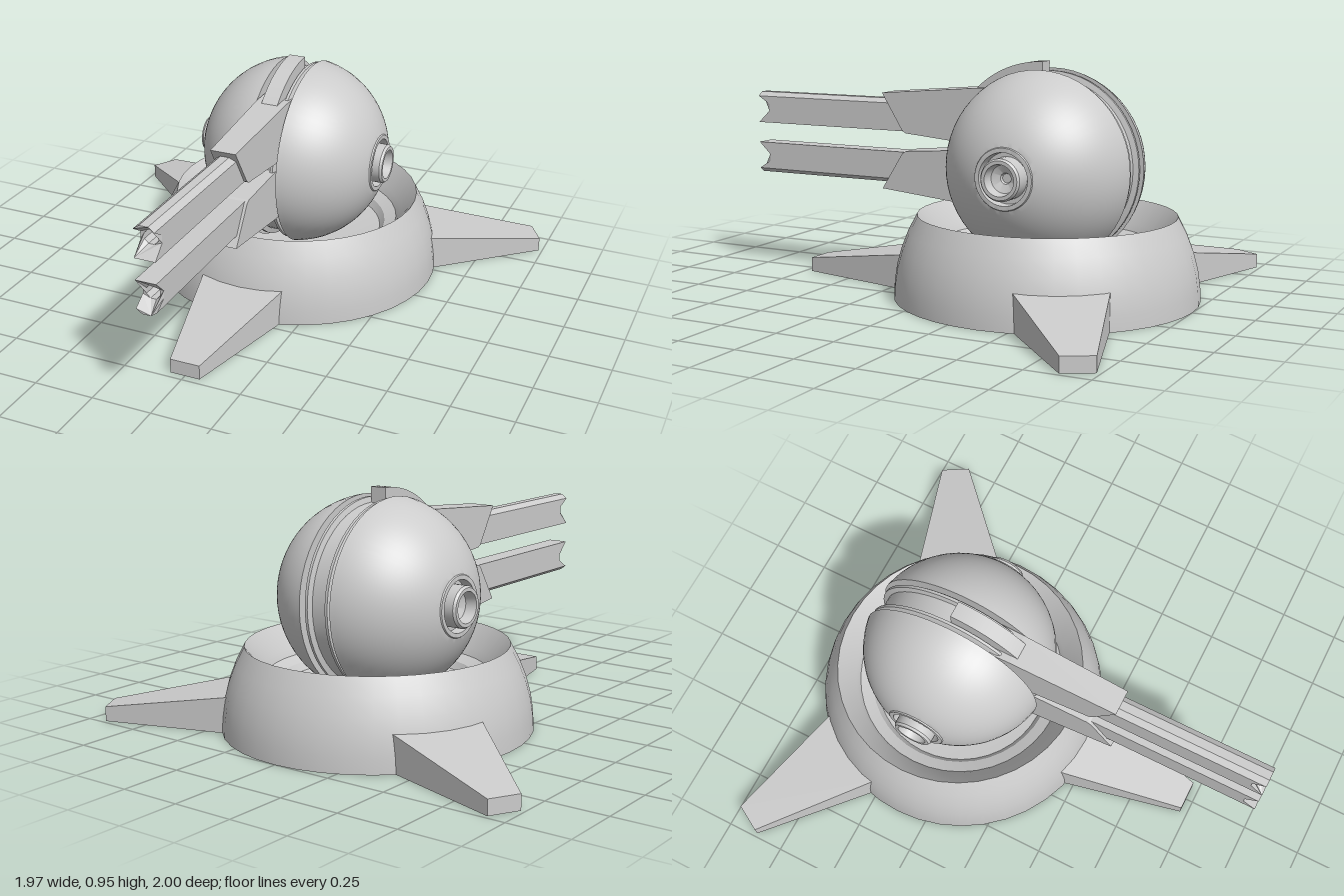
import * as THREE from 'three';
import { toCreasedNormals } from 'three/addons/utils/BufferGeometryUtils.js';

const material = new THREE.MeshStandardMaterial({ color: 0xcccccc });
const BALL_Y = 0.53, BALL_Z = -0.37, BALL_R = 0.4, BASE_Z = -0.38;

function add(parent, name, geometry) {
  const mesh = new THREE.Mesh(geometry, material);
  mesh.name = name;
  parent.add(mesh);
  return mesh;
}

function lathe(points, segments) {
  const profile = points.map(([r, y]) => new THREE.Vector2(r, y));
  return toCreasedNormals(new THREE.LatheGeometry(profile, segments), 0.5);
}

// Extrudes a side outline given in (z, y) symmetrically across x
function sideExtrude(shape, width, curveSegments = 12) {
  const g = new THREE.ExtrudeGeometry(shape, { depth: width, bevelEnabled: false, curveSegments });
  return g.translate(0, 0, -width / 2).rotateY(-Math.PI / 2);
}

function polygon(points) {
  return new THREE.Shape(points.map(([a, b]) => new THREE.Vector2(a, b)));
}

// Moves every vertex by a rule and refreshes the flat normals
function reshape(geometry, rule) {
  const p = geometry.attributes.position;
  const v = new THREE.Vector3();
  for (let i = 0; i < p.count; i++) {
    rule(v.fromBufferAttribute(p, i));
    p.setXYZ(i, v.x, v.y, v.z);
  }
  geometry.computeVertexNormals();
  return geometry;
}

// Tapered foot reaching outwards along +z from the base centre
function legGeometry() {
  const inner = 0.55, outer = 1.1;
  const shape = polygon([[inner, 0], [outer, 0], [outer, 0.06], [inner, 0.15]]);
  return reshape(sideExtrude(shape, 2), (v) => {
    v.x *= THREE.MathUtils.mapLinear(v.z, inner, outer, 0.185, 0.063);
  });
}

// Gun barrel with one chamfered edge pair, an eight-sided bore and a notched muzzle
function barrelGeometry() {
  const w = 0.043, h = 0.067;
  const shape = polygon([
    [-w, -h], [w, -h], [w, -0.015], [w, 0.015], [w, h - 0.018], [0.018, h],
    [-0.018, h], [-w, h - 0.018], [-w, 0.015], [-w, -0.015],
  ]);
  const bore = new THREE.Path();
  for (let i = 0; i < 8; i++) {
    const a = -(i + 0.5) * Math.PI / 4;
    bore[i ? 'lineTo' : 'moveTo'](0.03 * Math.cos(a), 0.03 * Math.sin(a));
  }
  bore.closePath();
  shape.holes.push(bore);
  const g = new THREE.ExtrudeGeometry(shape, { depth: 0.8, bevelEnabled: false });
  g.translate(0, 0, 0.2);
  return reshape(g, (v) => {
    if (v.z > 0.9 && Math.abs(v.y) < 0.04) v.z = 0.945;
  });
}

// Wedge housing that carries a barrel, upper version
function housingGeometry() {
  const shape = polygon([
    [-0.25, 0.63], [0, 0.615], [0.245, 0.635], [0.262, 0.645], [0.36, 0.8], [-0.1, 0.84], [-0.25, 0.84],
  ]);
  return reshape(sideExtrude(shape, 2), (v) => {
    v.x *= THREE.MathUtils.mapLinear(v.z, -0.25, 0.36, 0.068, 0.054);
  });
}

// Mirrors a geometry in y about a height and restores the corner order
function flipY(geometry, height) {
  const g = geometry.toNonIndexed ? (geometry.index ? geometry.toNonIndexed() : geometry.clone()) : geometry;
  const p = g.attributes.position;
  const a = new THREE.Vector3(), b = new THREE.Vector3();
  for (let i = 0; i < p.count; i++) p.setY(i, 2 * height - p.getY(i));
  for (let i = 0; i < p.count; i += 3) {
    a.fromBufferAttribute(p, i + 1);
    b.fromBufferAttribute(p, i + 2);
    p.setXYZ(i + 1, b.x, b.y, b.z);
    p.setXYZ(i + 2, a.x, a.y, a.z);
  }
  g.computeVertexNormals();
  return g;
}

export function createModel() {
  const model = new THREE.Group();
  model.name = 'ballTurret';

  // Round base with a sloped inner rim and a shallow bowl
  const base = new THREE.Group();
  base.name = 'base';
  base.position.z = BASE_Z;
  model.add(base);
  add(base, 'baseRing', lathe([
    [0, 0], [0.62, 0], [0.617, 0.06], [0.607, 0.13], [0.588, 0.2], [0.561, 0.27], [0.525, 0.34],
    [0.455, 0.25], [0.44, 0.22], [0.39, 0.2], [0.37, 0.17], [0, 0.12],
  ], 40));

  // Three feet
  for (let i = 0; i < 3; i++) {
    add(base, 'foot', legGeometry()).rotation.y = i * Math.PI * 2 / 3;
  }

  // Ball in two halves with a slot between them
  const ball = new THREE.Group();
  ball.name = 'ball';
  ball.position.set(0, BALL_Y, BALL_Z);
  model.add(ball);
  const start = Math.asin(0.073 / BALL_R), end = Math.acos(0.123 / BALL_R);
  const halfProfile = [[0, 0.073]];
  for (let i = 0; i <= 20; i++) {
    const a = start + (end - start) * i / 20;
    halfProfile.push([BALL_R * Math.cos(a), BALL_R * Math.sin(a)]);
  }
  halfProfile.push([0.12, 0.386], [0.103, 0.386], [0.1, 0.345], [0, 0.345]);
  const hubProfile = [
    [0.083, 0.34], [0.083, 0.41], [0.076, 0.42], [0.062, 0.42], [0.055, 0.375], [0.022, 0.36], [0.018, 0.35], [0, 0.35],
  ];
  for (const side of [1, -1]) {
    const label = side > 0 ? 'left' : 'right';
    add(ball, label + 'BallHalf', lathe(halfProfile, 56)).rotation.z = -side * Math.PI / 2;
    add(ball, label + 'PivotHub', lathe(hubProfile, 32)).rotation.z = -side * Math.PI / 2;
  }

  // Grooved wheel inside the slot
  add(ball, 'slotWheel', lathe([
    [0, -0.06], [0.372, -0.06], [0.384, -0.054], [0.384, -0.042], [0.362, -0.036],
    [0.362, 0.036], [0.384, 0.042], [0.384, 0.054], [0.372, 0.06], [0, 0.06],
  ], 56)).rotation.z = -Math.PI / 2;
  const axle = new THREE.CylinderGeometry(0.3, 0.3, 0.16, 40);
  add(ball, 'axle', axle).rotation.z = Math.PI / 2;

  // Raised arc over the top of the slot
  const arc = new THREE.Shape();
  const from = THREE.MathUtils.degToRad(46);
  arc.absarc(0, 0, 0.424, from, Math.PI / 2, false);
  arc.absarc(0, 0, 0.34, Math.PI / 2, from, true);
  add(ball, 'topHood', toCreasedNormals(sideExtrude(arc, 0.07, 16), 0.5));

  // Twin guns, mirrored about their shared middle height
  const middle = 0.597;
  const upperBarrel = barrelGeometry().translate(0, 0.708, 0);
  const guns = new THREE.Group();
  guns.name = 'guns';
  model.add(guns);
  add(guns, 'upperHousing', housingGeometry());
  add(guns, 'lowerHousing', flipY(housingGeometry(), middle));
  add(guns, 'upperBarrel', upperBarrel);
  add(guns, 'lowerBarrel', flipY(upperBarrel, middle));

  return model;
}
